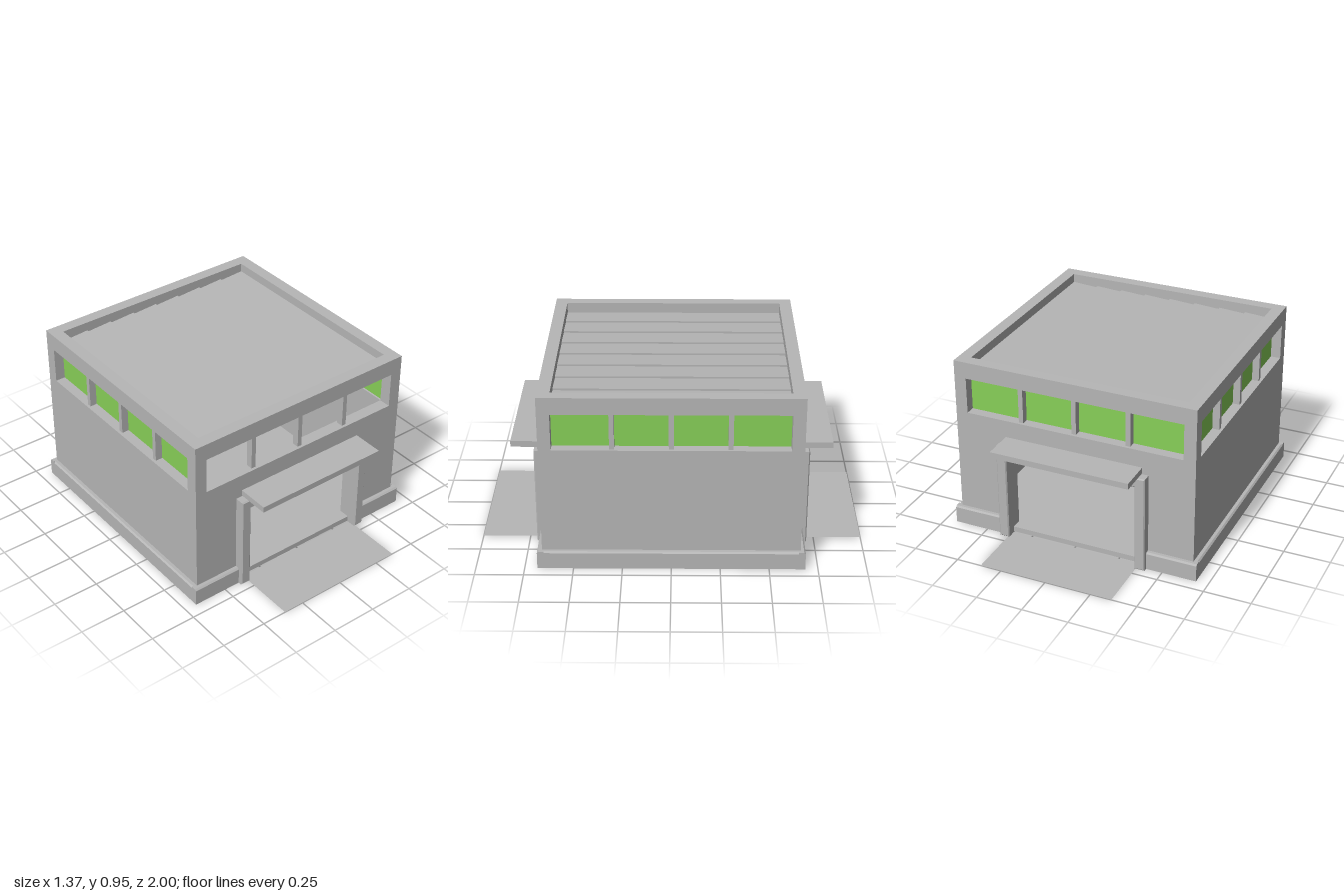
import * as THREE from 'three';

const concrete = new THREE.MeshStandardMaterial({ color: 0xb6b6b6 });
concrete.name = 'concrete grey';
const sheet = new THREE.MeshStandardMaterial({ color: 0xb6b6b6, side: THREE.DoubleSide });
sheet.name = 'ramp grey';
const green = new THREE.MeshStandardMaterial({ color: 0x88d058, side: THREE.DoubleSide });
green.name = 'green glass';

const OUT = 0.66, IN = 0.595, TOP = 0.95;   // wall faces and parapet height
const WIN0 = 0.665, WIN1 = 0.86;            // window band
const DOOR = 0.357, DOOR_TOP = 0.48;

function add(parent, name, geometry, material, x = 0, y = 0, z = 0) {
  const mesh = new THREE.Mesh(geometry, material);
  mesh.name = name;
  mesh.position.set(x, y, z);
  parent.add(mesh);
  return mesh;
}

// Box given by its limits on each axis
function block(parent, name, x0, x1, y0, y1, z0, z1, material = concrete) {
  return add(parent, name, new THREE.BoxGeometry(x1 - x0, y1 - y0, z1 - z0), material,
    (x0 + x1) / 2, (y0 + y1) / 2, (z0 + z1) / 2);
}

const outline = (points) => new THREE.Shape(points.map(([x, y]) => new THREE.Vector2(x, y)));

// Upside-down U around the door opening
const arch = (w, h) => outline([
  [-w, 0], [-DOOR, 0], [-DOOR, DOOR_TOP], [DOOR, DOOR_TOP], [DOOR, 0], [w, 0], [w, h], [-w, h],
]);

function mullions(parent) {
  for (const x of [-0.295, 0, 0.295]) {
    block(parent, 'windowMullion', x - 0.0125, x + 0.0125, WIN0, WIN1, 0.607, 0.645);
  }
}

function glass(parent) {
  add(parent, 'windowGlass', new THREE.PlaneGeometry(2 * IN, WIN1 - WIN0), green, 0, (WIN0 + WIN1) / 2, 0.606);
}

// Wall with doorway, window band, door frame, canopy and ramp
function doorSide() {
  const side = new THREE.Group();
  const wall = arch(OUT, TOP);
  wall.holes.push(new THREE.Path([[-IN, WIN0], [-IN, WIN1], [IN, WIN1], [IN, WIN0]]
    .map(([x, y]) => new THREE.Vector2(x, y))));
  add(side, 'doorWall', new THREE.ExtrudeGeometry(wall, { depth: OUT - IN, bevelEnabled: false }),
    concrete, 0, 0, IN);
  mullions(side);

  const frame = new THREE.ExtrudeGeometry(arch(0.413, 0.535), {
    depth: 0.05, bevelThickness: 0.006, bevelSize: 0.006, bevelOffset: -0.006, bevelSegments: 1,
  });
  add(side, 'doorFrame', frame, concrete, 0, 0, 0.654);
  block(side, 'canopy', -0.378, 0.378, 0.54, 0.572, 0.65, 0.83);
  block(side, 'canopySupport', -0.36, 0.36, 0.53, 0.545, 0.655, 0.7);
  const ramp = add(side, 'ramp', new THREE.PlaneGeometry(0.73, 0.34), sheet, 0, 0.002, 0.83);
  ramp.rotation.x = -Math.PI / 2;
  for (const s of [-1, 1]) plinth(side, Math.min(s * 0.41, s * 0.685), Math.max(s * 0.41, s * 0.685));
  return side;
}

// Plain wall below and above a window band
function plainSide() {
  const side = new THREE.Group();
  block(side, 'sideWall', -IN, IN, 0, WIN0, IN, OUT);
  block(side, 'sideParapet', -IN, IN, WIN1, TOP, IN, OUT);
  mullions(side);
  glass(side);
  plinth(side, -OUT, OUT);
  return side;
}

// Base strip with a chamfered upper edge
function plinth(parent, x0, x1) {
  const profile = outline([[-0.685, 0], [-0.65, 0], [-0.65, 0.097], [-0.677, 0.097], [-0.685, 0.089]]);
  const strip = new THREE.ExtrudeGeometry(profile, { depth: x1 - x0, bevelEnabled: false });
  strip.rotateY(Math.PI / 2);
  add(parent, 'plinth', strip, concrete, x0, 0, 0);
}

export function createModel() {
  const model = new THREE.Group();
  model.name = 'pavilion';

  const front = doorSide();
  front.name = 'frontSide';
  const back = doorSide();
  back.name = 'backSide';
  glass(back);
  back.rotation.y = Math.PI;
  model.add(front, back);

  for (const s of [-1, 1]) {
    const side = plainSide();
    side.name = s > 0 ? 'leftSide' : 'rightSide';
    side.rotation.y = s * Math.PI / 2;
    model.add(side);
  }

  block(model, 'floor', -0.655, 0.655, 0.006, 0.035, -0.655, 0.655);

  // Roof of eight slightly overlapping planks running front to back
  const step = 2 * IN / 8;
  const points = [[-IN, 0.87]];
  points.push([IN, 0.87]);
  for (let i = 7; i >= 0; i--) {
    const x = -IN + i * step;
    points.push([x + step, 0.902], [x, 0.893]);
  }
  const roof = new THREE.ExtrudeGeometry(outline(points), { depth: 2 * IN, bevelEnabled: false });
  add(model, 'plankRoof', roof, concrete, 0, 0, -IN);

  return model;
}
